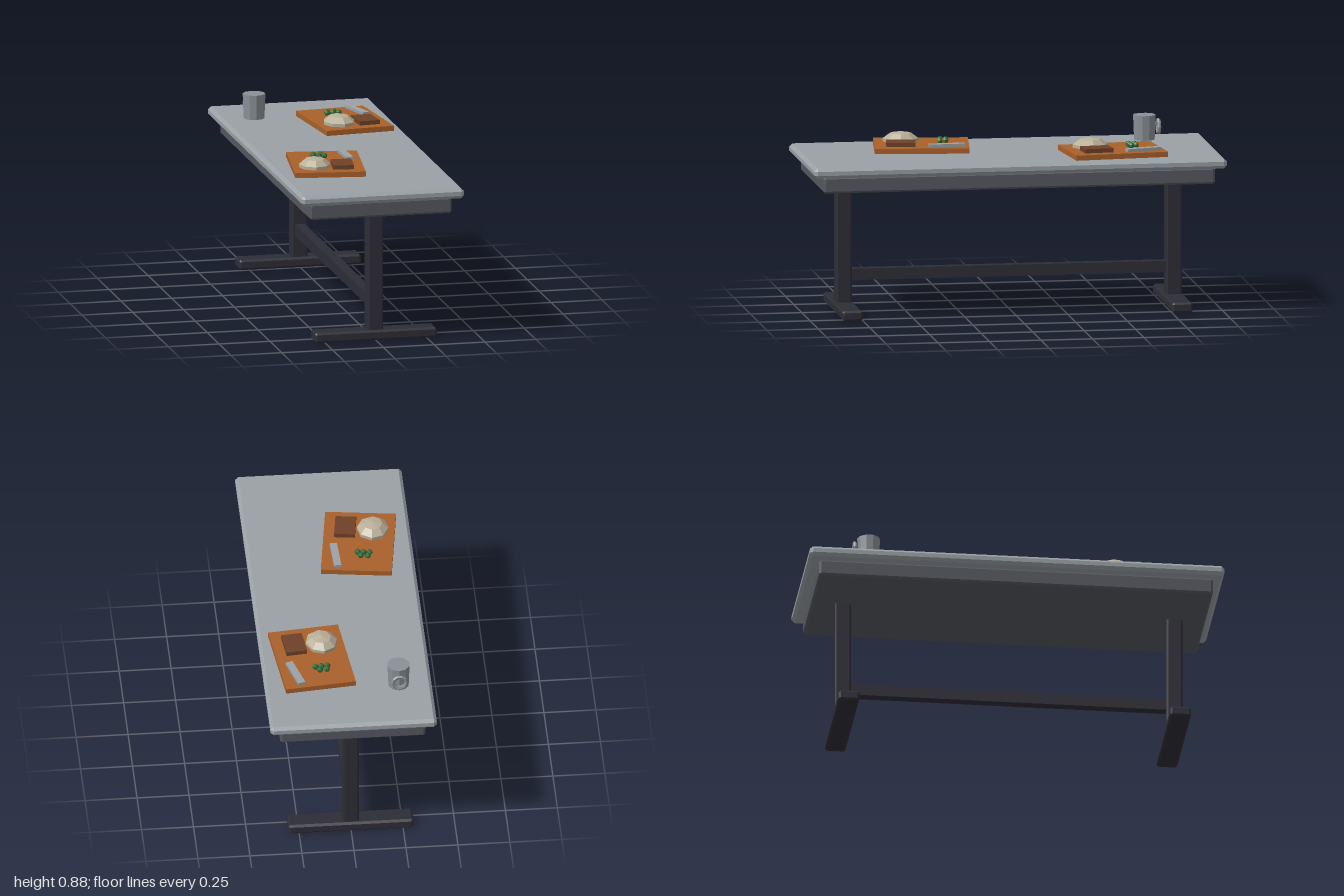
import * as THREE from 'three';
import { ConvexGeometry } from 'three/addons/geometries/ConvexGeometry.js';

const mat = (name, color) => {
  const m = new THREE.MeshStandardMaterial({ color });
  m.name = name;
  m.flatShading = true;
  return m;
};

// Box with every edge chamfered by c
function chamferBox(w, h, d, c) {
  const pts = [];
  for (const x of [-1, 1]) for (const y of [-1, 1]) for (const z of [-1, 1]) {
    const [X, Y, Z] = [w / 2, h / 2, d / 2];
    pts.push(
      new THREE.Vector3(x * X, y * (Y - c), z * (Z - c)),
      new THREE.Vector3(x * (X - c), y * Y, z * (Z - c)),
      new THREE.Vector3(x * (X - c), y * (Y - c), z * Z));
  }
  return new ConvexGeometry(pts);
}

export function createModel() {
  const model = new THREE.Group();
  model.name = 'messTable';
  const steel = mat('table top grey', 0x9aa1a5);
  const frame = mat('apron grey', 0x55585f);
  const dark = mat('leg charcoal', 0x2d2d36);
  const orange = mat('tray orange', 0xa9602a);
  const brown = mat('loaf brown', 0x6e4129);
  const cream = mat('bun cream', 0xb9af99);
  const green = mat('pea green', 0x2f6b35);
  const cutlery = mat('cutlery grey', 0x9ca2a8);
  const tin = mat('mug grey', 0x8b9197);

  const add = (parent, name, geometry, material, x, y, z) => {
    const mesh = new THREE.Mesh(geometry, material);
    mesh.name = name;
    mesh.position.set(x, y, z);
    parent.add(mesh);
    return mesh;
  };

  // Table
  add(model, 'tableTop', chamferBox(0.8, 0.05, 2, 0.015), steel, 0, 0.735, 0);
  add(model, 'apron', chamferBox(0.7, 0.08, 1.9, 0.01), frame, 0, 0.67, 0);
  for (const z of [-0.8, 0.8]) {
    add(model, 'post', chamferBox(0.077, 0.62, 0.077, 0.008), dark, 0, 0.34, z);
    add(model, 'foot', chamferBox(0.6, 0.05, 0.1, 0.01), dark, 0, 0.025, z);
  }
  add(model, 'stretcher', new THREE.BoxGeometry(0.05, 0.055, 1.56), dark, 0, 0.183, 0);

  // Trays with a meal on each
  const peas = [[-0.05, -0.118], [-0.016, -0.117], [-0.057, -0.091], [-0.028, -0.09], [0, -0.09]];
  for (const [x, z, turn] of [[-0.142, 0.398, -0.132], [0.157, -0.485, 0.105]]) {
    const meal = new THREE.Group();
    meal.name = 'meal';
    meal.position.set(x, 0.76, z);
    meal.rotation.y = turn;
    model.add(meal);
    add(meal, 'tray', new THREE.BoxGeometry(0.34, 0.025, 0.455), orange, 0, 0.0125, 0);
    add(meal, 'bun', new THREE.SphereGeometry(1, 8, 5), cream, -0.064, 0.025, 0.098).scale.set(0.08, 0.049, 0.09);
    add(meal, 'loaf', new THREE.BoxGeometry(0.1, 0.02, 0.14), brown, 0.068, 0.035, 0.1);
    for (const [px, pz] of peas) add(meal, 'pea', new THREE.SphereGeometry(0.015, 6, 5), green, px, 0.034, pz);
    add(meal, 'cutlery', new THREE.BoxGeometry(0.035, 0.014, 0.175), cutlery, 0.104, 0.032, -0.12).rotation.y = 0.17;
  }

  // Mug with a ring handle at the back
  add(model, 'mug', new THREE.CylinderGeometry(0.055, 0.05, 0.12, 10), tin, -0.24, 0.82, -0.7);
  add(model, 'mugHandle', new THREE.TorusGeometry(0.032, 0.009, 5, 10), tin, -0.24, 0.822, -0.768);

  return model;
}
